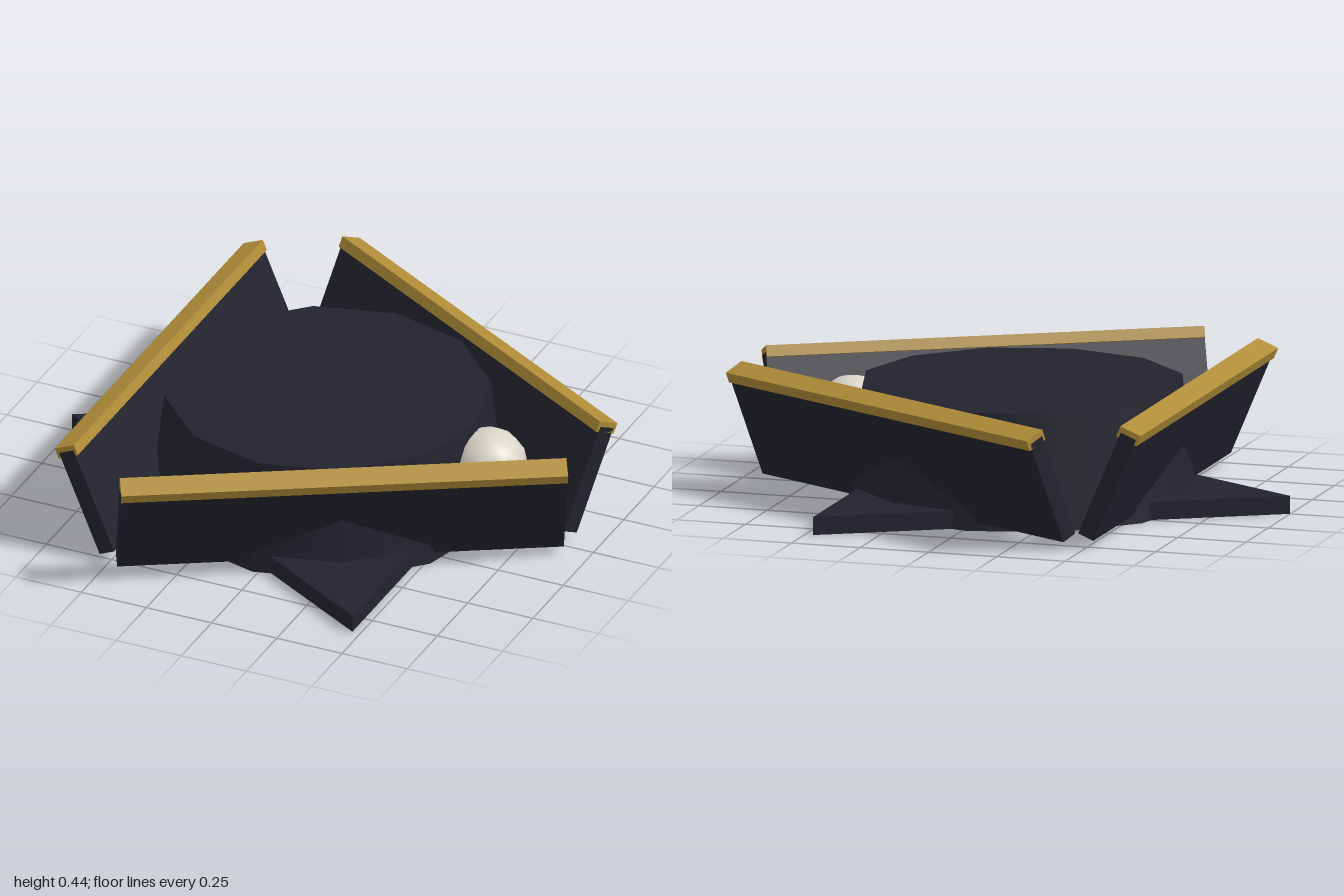
import * as THREE from 'three';

const dark = new THREE.MeshStandardMaterial({ color: 0x23232e });
dark.name = 'dark slate';
const gold = new THREE.MeshStandardMaterial({ color: 0xb08d38 });
gold.name = 'gold';
const bone = new THREE.MeshStandardMaterial({ color: 0xd8d4c8 });
bone.name = 'bone';

function add(parent, name, geometry, material, x, y, z) {
  const mesh = new THREE.Mesh(geometry, material);
  mesh.name = name;
  mesh.position.set(x, y, z);
  parent.add(mesh);
  return mesh;
}

export function createModel() {
  const root = new THREE.Group();
  root.name = 'model';
  const body = new THREE.Group();
  body.name = 'body';
  body.position.x = -0.02;
  root.add(body);

  // Triangular foot plate with one corner towards -x
  const foot = new THREE.CylinderGeometry(0.98, 0.98, 0.064, 3, 1, false, -Math.PI / 2).toNonIndexed();
  foot.computeVertexNormals();
  add(body, 'footPlate', foot, dark, 0, 0.032, 0);

  // Tapered twelve-sided drum
  add(body, 'drum', new THREE.CylinderGeometry(0.57, 0.62, 0.41, 12), dark, 0, 0.205, 0);

  // Three outward-leaning panels with gold caps
  const lean = 0.4;
  const boardGeometry = new THREE.BoxGeometry(0.06, 0.4, 1.56);
  const capGeometry = new THREE.BoxGeometry(0.08, 0.04, 1.56);
  for (let i = 0; i < 3; i++) {
    const side = new THREE.Group();
    side.name = 'side' + (i + 1);
    side.rotation.y = Math.PI / 3 + (i * Math.PI * 2) / 3;
    const panel = new THREE.Group();
    panel.name = 'leaningPanel';
    panel.position.set(0.484, 0.042, 0);
    panel.rotation.z = -lean;
    add(panel, 'board', boardGeometry, dark, 0, 0.2, 0);
    add(panel, 'cap', capGeometry, gold, 0, 0.4, 0);
    side.add(panel);
    body.add(side);
  }

  // Pale head with a small jaw, set into the gap between two panels
  const head = new THREE.Group();
  head.name = 'head';
  head.position.set(0.62, 0, 0);
  add(head, 'cranium', new THREE.SphereGeometry(0.135, 10, 8), bone, 0, 0.255, 0);
  add(head, 'jaw', new THREE.BoxGeometry(0.1, 0.08, 0.12), bone, 0.02, 0.115, 0);
  body.add(head);

  return root;
}
